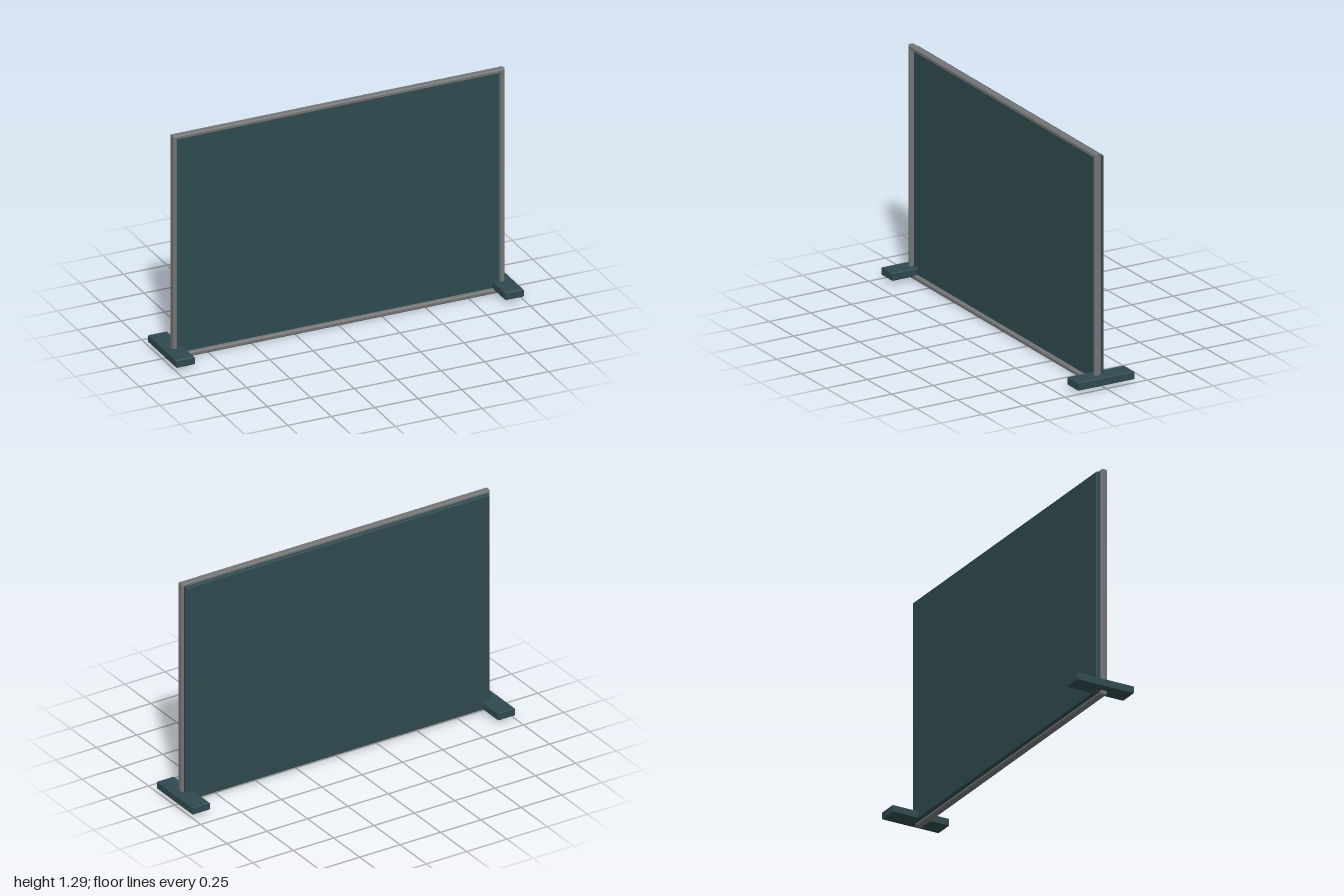
import * as THREE from 'three';

const boardMat = new THREE.MeshStandardMaterial({ color: 0x2f4a4f });
boardMat.name = 'darkTeal';
const frameMat = new THREE.MeshStandardMaterial({ color: 0x727475 });
frameMat.name = 'frameGrey';

// Rectangle outline centred on the origin
function rect(Type, w, h) {
  const p = new Type();
  p.moveTo(-w / 2, -h / 2);
  p.lineTo(w / 2, -h / 2);
  p.lineTo(w / 2, h / 2);
  p.lineTo(-w / 2, h / 2);
  p.closePath();
  return p;
}

// Chamfered slab, w x h outside, d thick, optionally with a border-wide opening
function slab(name, w, h, d, bevel, material, border = 0) {
  const shape = rect(THREE.Shape, w - 2 * bevel, h - 2 * bevel);
  if (border) shape.holes.push(rect(THREE.Path, w - 2 * border + 2 * bevel, h - 2 * border + 2 * bevel));
  const geo = new THREE.ExtrudeGeometry(shape, {
    depth: d - 2 * bevel, bevelEnabled: true, bevelThickness: bevel, bevelSize: bevel, bevelSegments: 1,
  });
  geo.translate(0, 0, -d / 2 + bevel);
  const mesh = new THREE.Mesh(geo, material);
  mesh.name = name;
  return mesh;
}

export function createModel() {
  const model = new THREE.Group();
  model.name = 'partitionScreen';

  // Grey surround, standing in front of the board
  const frame = slab('frame', 1.91, 1.29, 0.038, 0.006, frameMat, 0.025);
  frame.position.set(0, 0.645, 0.02);
  model.add(frame);

  // Board, projecting behind the frame
  const panel = slab('panel', 1.88, 1.26, 0.038, 0.004, boardMat);
  panel.position.set(0, 0.645, -0.002);
  model.add(panel);

  // Crosswise feet
  for (const side of [-1, 1]) {
    const foot = slab(side > 0 ? 'leftFoot' : 'rightFoot', 0.107, 0.342, 0.044, 0.004, boardMat);
    foot.rotation.x = -Math.PI / 2;
    foot.position.set(side * 0.9465, 0.041, 0);
    model.add(foot);
  }
  return model;
}
